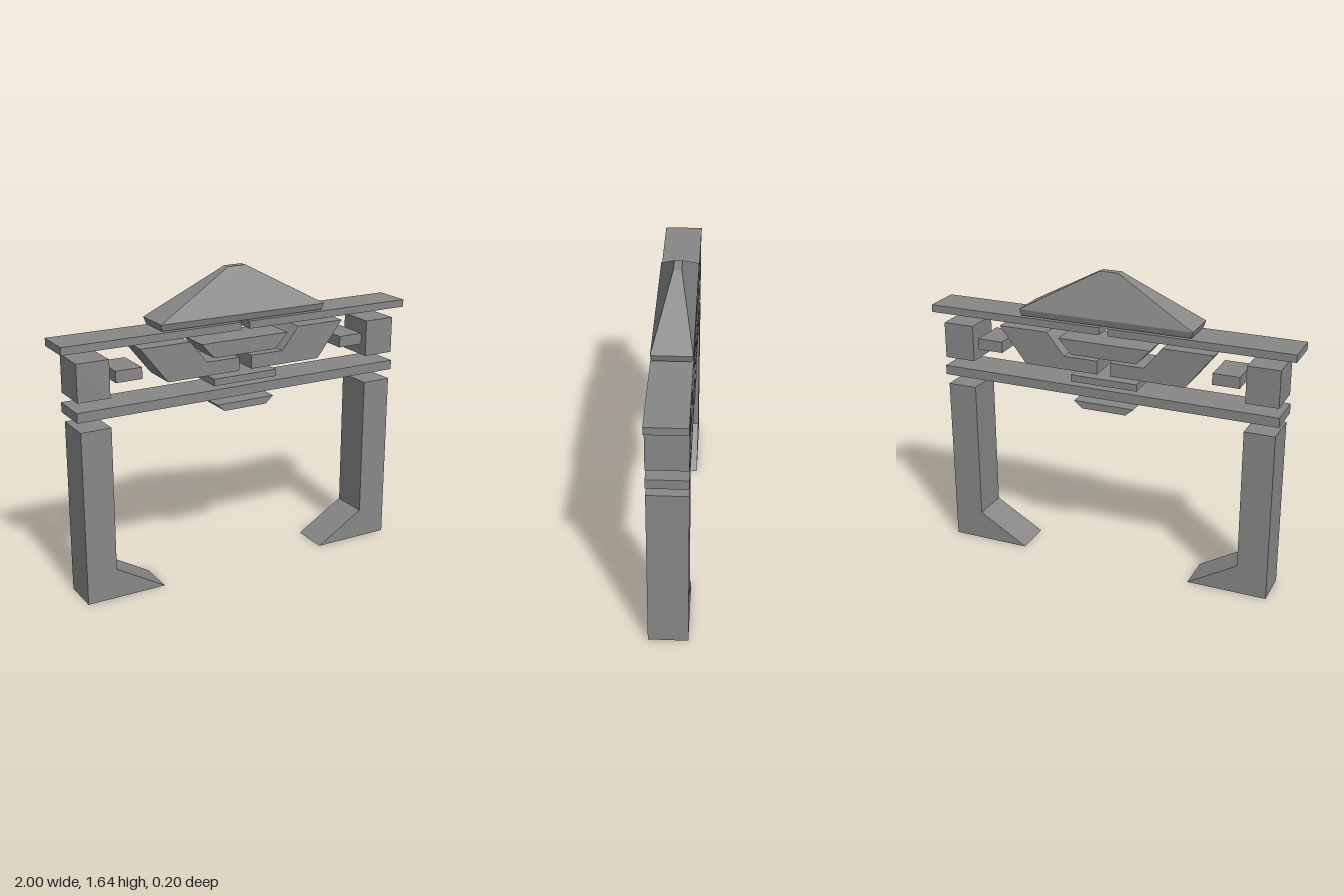
import * as THREE from 'three';

const DEPTH = 0.204;

export function createModel() {
  const model = new THREE.Group();
  const material = new THREE.MeshStandardMaterial({ color: 0x888888, flatShading: true });

  function add(name, geometry) {
    const mesh = new THREE.Mesh(geometry, material);
    mesh.name = name;
    model.add(mesh);
  }

  // Front outline extruded through the full depth
  function prism(name, points) {
    const shape = new THREE.Shape(points.map(([x, y]) => new THREE.Vector2(x, y)));
    const geometry = new THREE.ExtrudeGeometry(shape, { depth: DEPTH, bevelEnabled: false });
    add(name, geometry.translate(0, 0, -DEPTH / 2));
  }

  const bar = (name, x0, x1, y0, y1) => prism(name, [[x0, y0], [x1, y0], [x1, y1], [x0, y1]]);

  // Symmetric wedge, wider at the top
  const wedge = (name, bottom, top, y0, y1) =>
    prism(name, [[-bottom, y0], [bottom, y0], [top, y1], [-top, y1]]);

  // The same outline on both sides
  function pair(name, points) {
    for (const [side, s] of [['left', 1], ['right', -1]]) {
      prism(side + name, points.map(([x, y]) => [s * x, y]));
    }
  }

  // Legs with sloping feet pointing inwards
  pair('Leg', [[0.919, 0], [0.919, 0.925], [0.757, 0.925], [0.757, 0.16], [0.487, 0]]);

  // Lower beam and the pieces around its middle
  bar('lowerBeam', -0.934, 0.934, 0.977, 1.028);
  wedge('lowerKeystone', 0.123, 0.167, 0.907, 0.945);
  bar('centreBar', -0.183, 0.183, 1.049, 1.086);

  // Blocks between the two beams
  pair('EndBlock', [[0.928, 1.077], [0.928, 1.273], [0.757, 1.273], [0.757, 1.077]]);
  pair('SmallBlock', [[0.726, 1.149], [0.726, 1.209], [0.584, 1.209], [0.584, 1.149]]);
  pair('Wing', [[0.592, 1.3], [0.318, 1.3], [0.222, 1.182], [0.036, 1.182], [0.036, 1.11], [0.443, 1.11]]);
  wedge('centreWedge', 0.181, 0.253, 1.197, 1.277);

  // Upper beam in two halves
  pair('UpperBeam', [[0.024, 1.324], [1, 1.324], [1, 1.364], [0.024, 1.364]]);

  // Roof: rectangles [y, half width, back z, front z] joined from the bottom up
  const sections = [
    [1.37, 0.466, -0.092, 0.092],
    [1.405, 0.476, -0.102, 0.102],
    [1.636, 0.051, -0.029, 0.012],
  ];
  const positions = [];
  const indices = [];
  for (const [y, w, back, front] of sections) {
    for (const [s, z] of [[-1, front], [1, front], [1, back], [-1, back]]) {
      positions.push(s * w, y, z);
    }
  }
  const quad = (a, b, c, d) => indices.push(a, b, c, a, c, d);
  for (let i = 0; i < sections.length - 1; i++) {
    for (let j = 0; j < 4; j++) {
      const k = (j + 1) % 4;
      quad(i * 4 + j, i * 4 + k, i * 4 + 4 + k, i * 4 + 4 + j);
    }
  }
  quad(3, 2, 1, 0);
  quad(8, 9, 10, 11);
  const roof = new THREE.BufferGeometry();
  roof.setAttribute('position', new THREE.Float32BufferAttribute(positions, 3));
  roof.setIndex(indices);
  const flatRoof = roof.toNonIndexed();
  flatRoof.computeVertexNormals();
  add('roof', flatRoof);

  return model;
}
